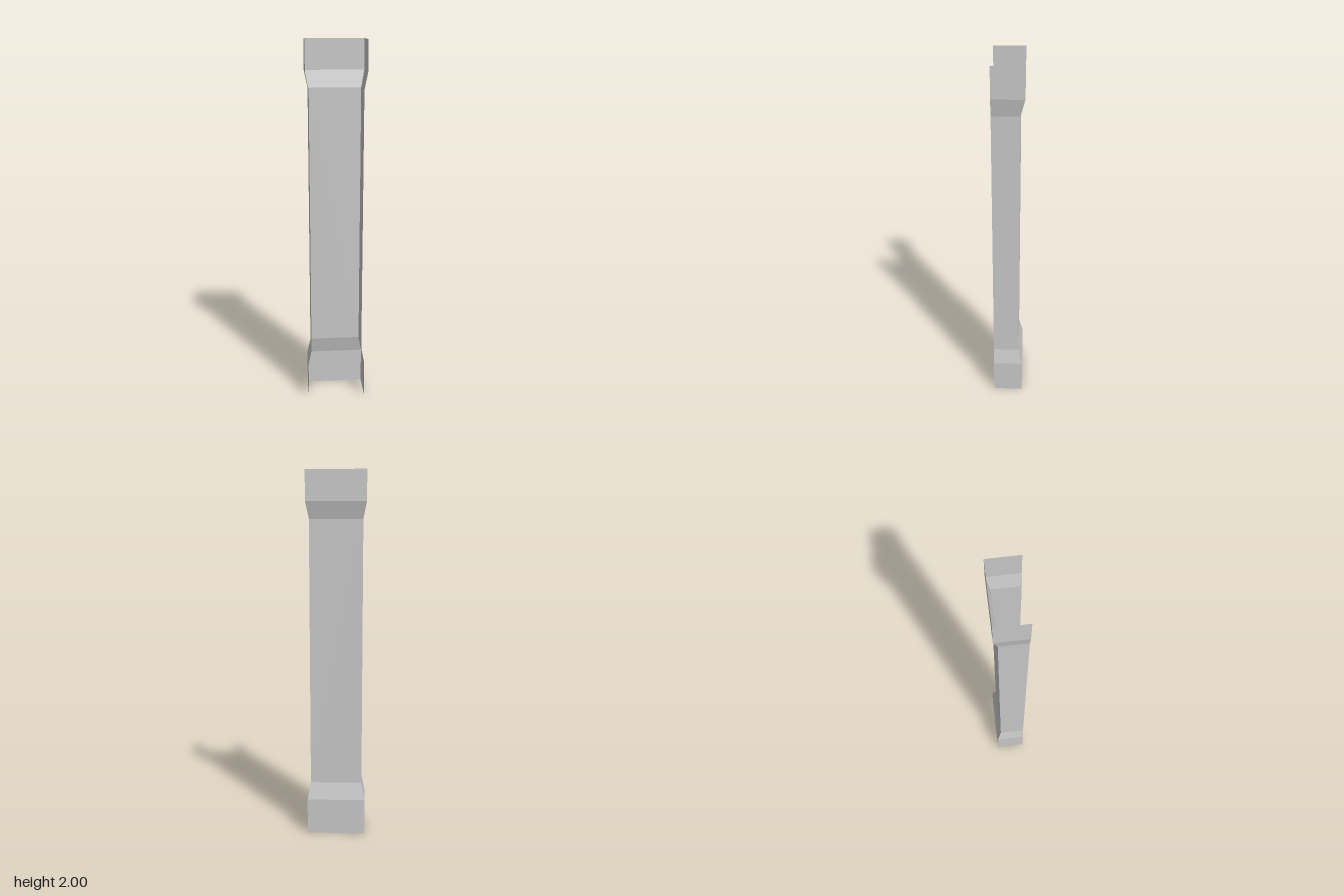
import * as THREE from 'three';

const FRONT_Z = 0.082;

// Open U-shaped sheet between two levels; a level is [y, halfWidth, backZ]
function channelSection(name, lower, upper, material) {
  const ring = ([y, w, back]) => [
    [-w, y, FRONT_Z], [-w, y, back], [w, y, back], [w, y, FRONT_Z],
  ];
  const lo = ring(lower);
  const up = ring(upper);
  const positions = [];
  for (let i = 0; i < 3; i++) {
    positions.push(...lo[i], ...up[i], ...lo[i + 1]);
    positions.push(...lo[i + 1], ...up[i], ...up[i + 1]);
  }
  const geometry = new THREE.BufferGeometry();
  geometry.setAttribute('position', new THREE.Float32BufferAttribute(positions, 3));
  geometry.computeVertexNormals();
  const mesh = new THREE.Mesh(geometry, material);
  mesh.name = name;
  return mesh;
}

export function createModel() {
  const group = new THREE.Group();
  group.name = 'halfPillar';
  const material = new THREE.MeshStandardMaterial({
    color: 0xcccccc, flatShading: true, side: THREE.DoubleSide,
  });

  // Wide ends tapering into a slimmer shaft, open at the front, top and bottom
  const levels = [
    [0, 0.16, -0.083],
    [0.2, 0.16, -0.083],
    [0.295, 0.142, -0.061],
    [1.75, 0.142, -0.061],
    [1.84, 0.16, -0.083],
    [2, 0.16, -0.083],
  ];
  const names = ['base', 'baseTaper', 'shaft', 'capitalTaper', 'capital'];
  names.forEach((name, i) => {
    group.add(channelSection(name, levels[i], levels[i + 1], material));
  });
  return group;
}
